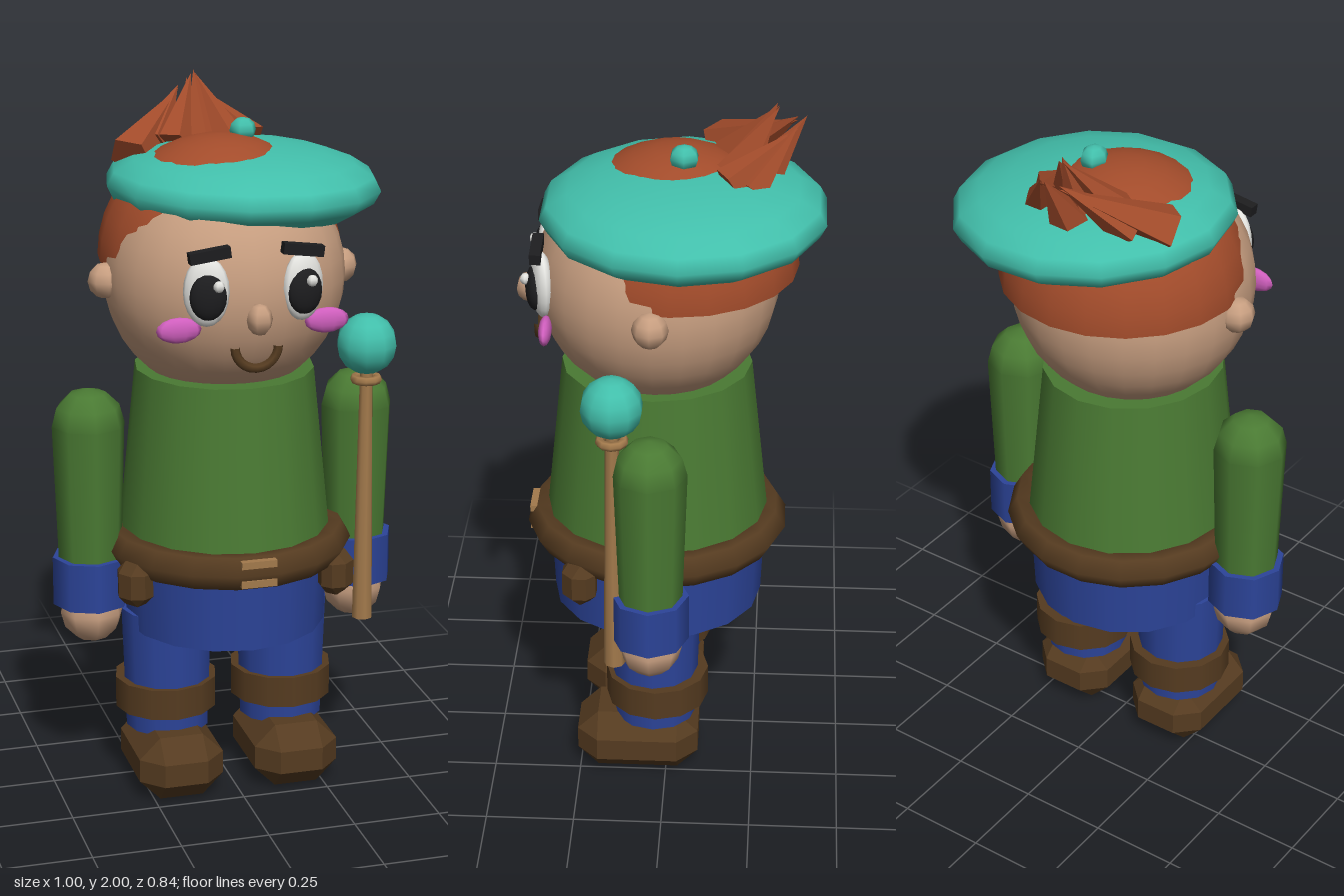
import * as THREE from 'three';
import { ConvexGeometry } from 'three/addons/geometries/ConvexGeometry.js';

const paint = (name, color) => {
  const m = new THREE.MeshStandardMaterial({ color });
  m.name = name;
  return m;
};

export function createModel() {
  const green = paint('tunic green', 0x4a7a33);
  const blue = paint('trouser blue', 0x2c4499);
  const brown = paint('leather brown', 0x553b20);
  const skin = paint('skin', 0xc79e80);
  const teal = paint('teal', 0x42bfab);
  const red = paint('hair red', 0xa34c2b);
  const pink = paint('cheek pink', 0xd05fbe);
  const white = paint('eye white', 0xe4e4e0);
  const black = paint('black', 0x1d1d1f);
  const tan = paint('wood tan', 0xa37a4c);

  const model = new THREE.Group();
  model.name = 'adventurer';
  const Z = 0.035; // depth of the body axis

  const add = (name, geo, mat, x, y, z) => {
    const mesh = new THREE.Mesh(geo, mat);
    mesh.name = name;
    mesh.position.set(x, y, z);
    model.add(mesh);
    return mesh;
  };
  const ball = (rx, ry, rz, w = 10, h = 8) => new THREE.SphereGeometry(1, w, h).scale(rx, ry, rz);
  const tube = (rt, rb, h, n) => new THREE.CylinderGeometry(rt, rb, h, n);
  const flat = (geo) => {
    const g = geo.toNonIndexed();
    g.computeVertexNormals();
    return g;
  };
  // box with every edge and corner cut off
  const chamferBox = (w, h, d, c) => {
    const pts = [];
    for (const i of [-1, 1]) for (const j of [-1, 1]) for (const k of [-1, 1]) {
      const x = w / 2, y = h / 2, z = d / 2;
      pts.push(new THREE.Vector3(i * x, j * (y - c), k * (z - c)),
        new THREE.Vector3(i * (x - c), j * y, k * (z - c)),
        new THREE.Vector3(i * (x - c), j * (y - c), k * z));
    }
    return new ConvexGeometry(pts);
  };

  // torso, hips and belt
  add('tunic', tube(0.25, 0.3, 0.5, 16).scale(1, 1, 1.06), green, 0, 0.98, Z);
  add('hips', tube(0.295, 0.285, 0.24, 16).scale(1, 1, 1.05), blue, 0, 0.605, Z);
  add('belt', new THREE.TorusGeometry(0.305, 0.053, 6, 18).rotateX(Math.PI / 2).scale(1, 1, 1.04), brown, 0, 0.73, Z);
  for (const y of [0.705, 0.76]) add('buckleBar', new THREE.BoxGeometry(0.1, 0.02, 0.024), tan, 0, y, 0.386);
  add('leftPouch', chamferBox(0.1, 0.125, 0.09, 0.028), brown, 0.268, 0.66, 0.24).rotation.y = 0.75;
  add('rightPouch', chamferBox(0.1, 0.125, 0.09, 0.028), brown, -0.3, 0.667, 0.2).rotation.y = -0.95;

  // limbs, mirrored
  for (const [s, side] of [[1, 'left'], [-1, 'right']]) {
    add(side + 'Leg', tube(0.132, 0.12, 0.36, 12), blue, s * 0.17, 0.35, Z);
    add(side + 'BootCuff', tube(0.147, 0.147, 0.09, 12), brown, s * 0.172, 0.272, Z - 0.008);
    add(side + 'Boot', chamferBox(0.245, 0.187, 0.35, 0.06), brown, s * 0.17, 0.0935, 0.082);

    add(side + 'Sleeve', tube(0.103, 0.09, 0.4, 8), green, s * 0.39, 0.885, Z);
    add(side + 'Shoulder', ball(0.103, 0.103, 0.103, 8, 6), green, s * 0.39, 1.085, Z);
    add(side + 'SleeveCuff', tube(0.108, 0.108, 0.14, 8), blue, s * 0.39, 0.632, Z);
    add(side + 'Hand', ball(0.09, 0.09, 0.09, 8, 6), skin, s * 0.388, 0.535, Z);
    add(side + 'Ear', ball(0.05, 0.05, 0.05, 8, 6), skin, s * 0.335, 1.49, Z);

    // face
    add(side + 'Eye', ball(0.062, 0.095, 0.03, 14, 10), white, s * 0.133, 1.518, 0.338).rotation.y = s * 0.3;
    add(side + 'Pupil', ball(0.05, 0.063, 0.025, 14, 10), black, s * 0.133, 1.508, 0.358).rotation.y = s * 0.15;
    add(side + 'EyeGlint', ball(0.016, 0.016, 0.016, 6, 5), white, s * 0.128 + 0.018, 1.54, 0.38);
    add(side + 'Brow', new THREE.BoxGeometry(0.112, 0.03, 0.03), black, s * 0.128, 1.62, 0.35).rotation.z = -s * 0.13;
    add(side + 'Cheek', ball(0.062, 0.035, 0.018, 10, 8), pink, s * 0.205, 1.415, 0.325);
  }

  // head
  add('head', ball(0.335, 0.335, 0.335, 24, 18), skin, 0, 1.49, 0.033);
  add('nose', ball(0.036, 0.043, 0.04, 6, 6), skin, 0, 1.445, 0.385);
  add('mouth', new THREE.TorusGeometry(0.06, 0.013, 6, 12, Math.PI).rotateZ(Math.PI), brown, 0, 1.365, 0.358);

  // hair cap, closed below
  add('hairCap', new THREE.SphereGeometry(0.338, 20, 9, 0, Math.PI * 2, 0, Math.PI / 2), red, 0, 1.53, -0.015);
  add('hairUnderside', new THREE.CircleGeometry(0.338, 20).rotateX(Math.PI / 2), red, 0, 1.53, -0.015);

  // hair tuft: spikes sweeping from spread roots to gathered tips
  const up = new THREE.Vector3(0, 1, 0);
  const spike = (root, tip, r) => {
    const a = new THREE.Vector3(...root), b = new THREE.Vector3(...tip);
    const dir = b.clone().sub(a);
    const mid = a.clone().add(b).multiplyScalar(0.5);
    add('hairSpike', flat(new THREE.ConeGeometry(r, dir.length(), 5)), red, mid.x, mid.y, mid.z)
      .quaternion.setFromUnitVectors(up, dir.normalize());
  };
  spike([0, 1.82, -0.2], [0, 2.0, -0.285], 0.055);
  spike([0, 1.79, -0.25], [0, 1.965, -0.363], 0.06);
  spike([-0.22, 1.79, -0.13], [-0.03, 1.94, -0.34], 0.068);
  spike([-0.15, 1.81, -0.2], [-0.03, 1.95, -0.34], 0.06);
  spike([-0.09, 1.82, -0.16], [-0.006, 1.99, -0.29], 0.05);
  spike([0.07, 1.82, -0.17], [0.006, 1.99, -0.29], 0.05);
  spike([0.13, 1.82, -0.16], [0.03, 1.94, -0.34], 0.05);
  spike([0.12, 1.8, -0.22], [0.03, 1.95, -0.34], 0.05);

  // beret
  add('beret', ball(0.385, 0.118, 0.39, 14, 10), teal, 0.075, 1.722, -0.042).rotation.z = -0.03;
  add('beretButton', ball(0.038, 0.035, 0.042, 6, 6), teal, 0.075, 1.87, -0.042);

  // staff
  add('staffShaft', tube(0.018, 0.03, 0.75, 8), tan, 0.385, 0.845, 0.135);
  add('staffRing', new THREE.TorusGeometry(0.033, 0.013, 6, 10).rotateX(Math.PI / 2), tan, 0.385, 1.183, 0.135);
  add('staffOrb', ball(0.086, 0.086, 0.086, 10, 8), teal, 0.385, 1.285, 0.135);

  return model;
}
